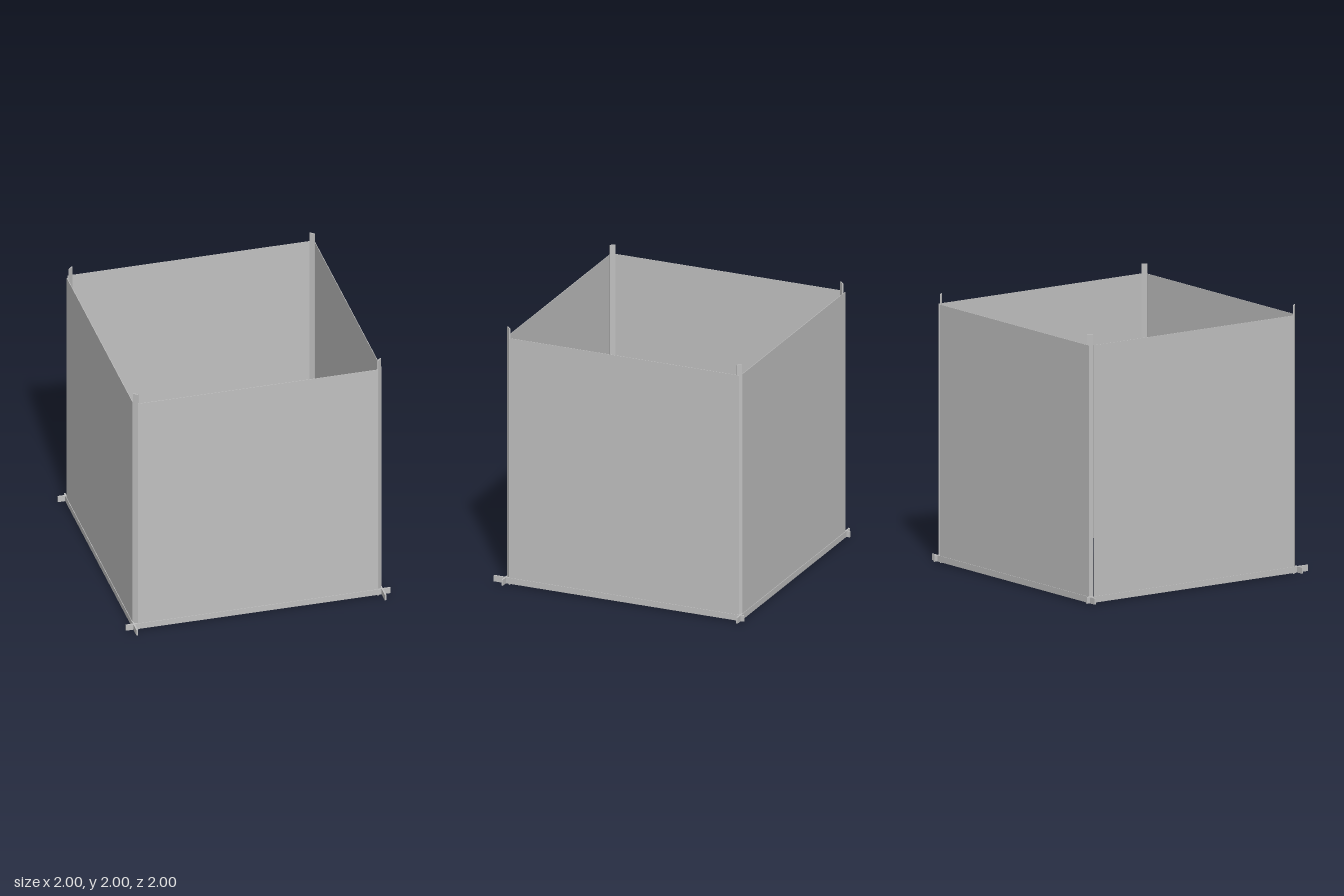
import * as THREE from 'three';

export function createModel() {
  const group = new THREE.Group();
  const grey = new THREE.MeshStandardMaterial({ color: 0xc0c0c0 });
  grey.name = 'plain grey';

  // Box given by its lower and upper corners
  function addBox(name, min, max) {
    const size = max.map((v, i) => v - min[i]);
    const mesh = new THREE.Mesh(new THREE.BoxGeometry(...size), grey);
    mesh.position.set(...max.map((v, i) => (v + min[i]) / 2));
    mesh.name = name;
    group.add(mesh);
  }

  const sideX = 0.938, frontZ = 0.907, backZ = -0.968;
  const railHalf = 0.006, wallHalf = 0.002;
  const wallBottom = 0.05, wallTop = 1.925;

  // Crossing base rails, running past each corner
  for (const [name, z] of [['frontRail', frontZ], ['backRail', backZ]]) {
    addBox(name, [-1, 0.01, z - railHalf], [1, 0.056, z + railHalf]);
  }
  for (const [name, x] of [['leftRail', sideX], ['rightRail', -sideX]]) {
    addBox(name, [x - railHalf, 0.01, -1], [x + railHalf, 0.056, 1]);
  }

  // Thin wall panels, ending at the corner posts
  addBox('frontWall', [-0.906, wallBottom, frontZ - wallHalf], [0.906, wallTop, frontZ + wallHalf]);
  addBox('backWall', [-0.925, wallBottom, backZ - wallHalf], [0.906, wallTop, backZ + wallHalf]);
  addBox('leftWall', [sideX - wallHalf, wallBottom, -0.958], [sideX + wallHalf, wallTop, 0.876]);
  addBox('rightWall', [-sideX - wallHalf, wallBottom, -0.935], [-sideX + wallHalf, wallTop, 0.876]);

  // Flat posts set diagonally across the corners
  const posts = [
    ['frontLeftPost', 0.92, 0.89, 1],
    ['frontRightPost', -0.92, 0.89, -1],
    ['backLeftPost', 0.92, -0.949, -1],
    ['backRightPost', -0.909, -0.947, 1],
  ];
  for (const [name, x, z, turn] of posts) {
    const post = new THREE.Mesh(new THREE.BoxGeometry(0.042, 2, 0.009), grey);
    post.position.set(x, 1, z);
    post.rotation.y = turn * Math.PI / 4;
    post.name = name;
    group.add(post);
  }

  return group;
}
